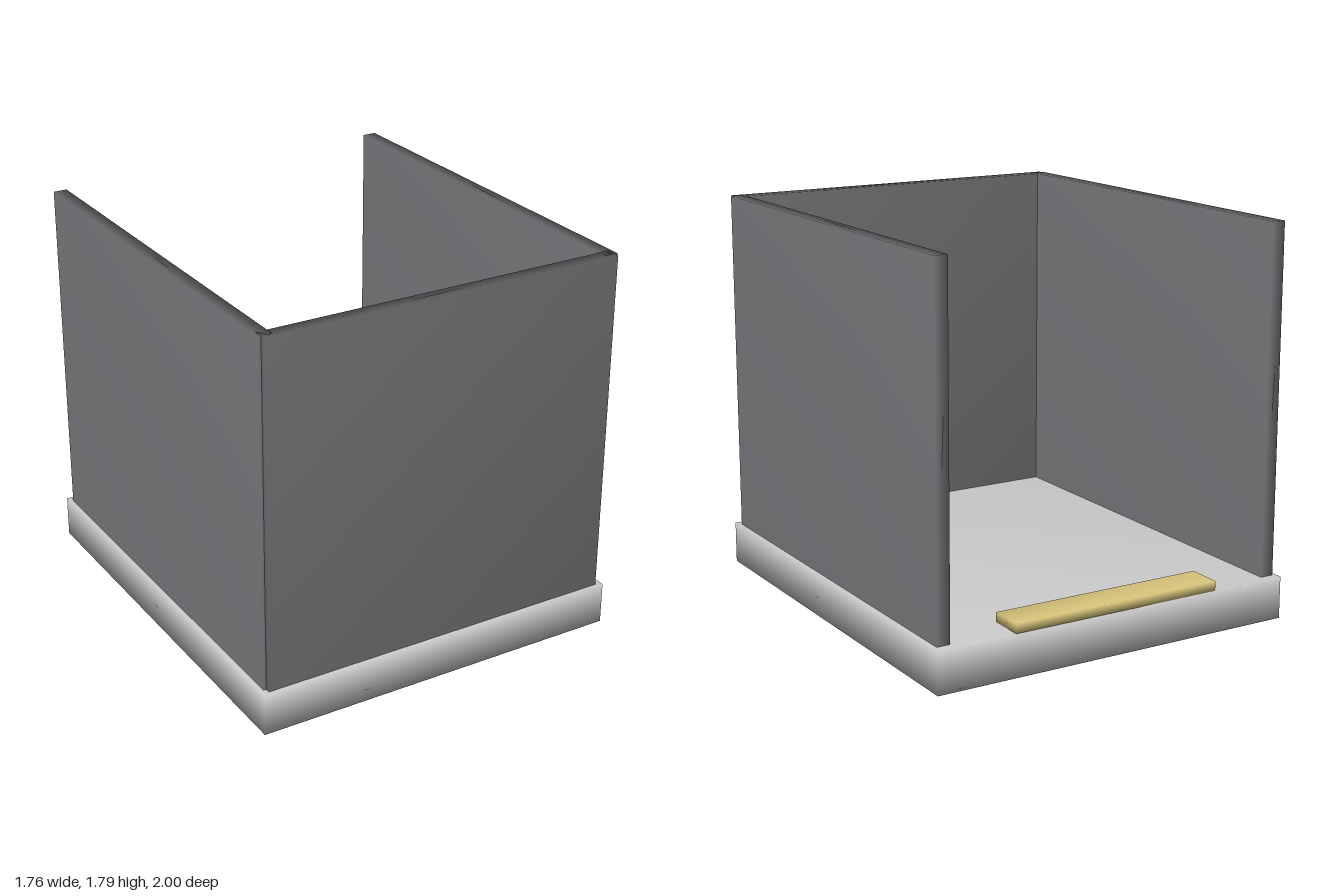
import * as THREE from 'three';
import { mergeVertices } from 'three/addons/utils/BufferGeometryUtils.js';

const baseTop = 0.195;
const wallTop = 1.795;

// Box given by its extents, with normals shared across the corners for soft shading
function softBox(name, material, [x0, x1], [y0, y1], [z0, z1]) {
  const box = new THREE.BoxGeometry(x1 - x0, y1 - y0, z1 - z0);
  box.deleteAttribute('normal');
  box.deleteAttribute('uv');
  const geometry = mergeVertices(box);
  geometry.computeVertexNormals();
  const mesh = new THREE.Mesh(geometry, material);
  mesh.name = name;
  mesh.position.set((x0 + x1) / 2, (y0 + y1) / 2, (z0 + z1) / 2);
  return mesh;
}

export function createModel() {
  const model = new THREE.Group();
  model.name = 'threeSidedBooth';

  const baseMaterial = new THREE.MeshStandardMaterial({ color: 0xcccccc });
  const wallMaterial = new THREE.MeshStandardMaterial({ color: 0x77777b });
  const sillMaterial = new THREE.MeshStandardMaterial({ color: 0xd8c57c });

  // Floor slab
  model.add(softBox('base', baseMaterial, [-0.88, 0.88], [0, baseTop], [-1, 1]));

  // Front wall, standing slightly proud of the side walls
  const wallY = [baseTop, wallTop];
  model.add(softBox('frontWall', wallMaterial, [-0.85, 0.85], wallY, [0.92, 0.985]));

  // Side walls
  model.add(softBox('leftWall', wallMaterial, [0.8, 0.863], wallY, [-0.963, 0.963]));
  model.add(softBox('rightWall', wallMaterial, [-0.863, -0.8], wallY, [-0.963, 0.963]));

  // Threshold strip at the open back
  model.add(softBox('threshold', sillMaterial, [-0.515, 0.508], [baseTop, 0.24], [-1, -0.84]));

  return model;
}
